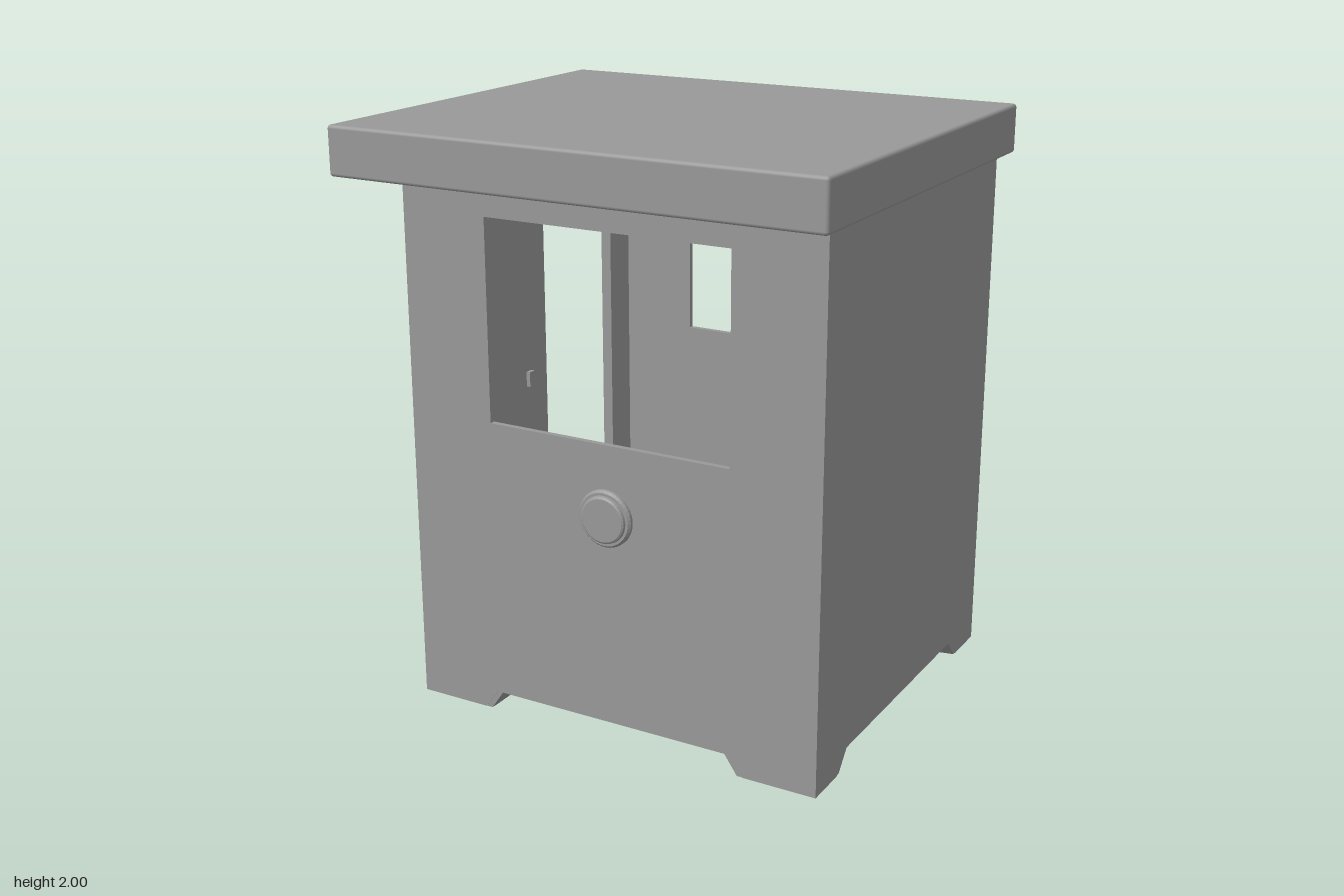
import * as THREE from 'three';
import { RoundedBoxGeometry } from 'three/addons/geometries/RoundedBoxGeometry.js';
import { ConvexGeometry } from 'three/addons/geometries/ConvexGeometry.js';

// Booth extents
const X0 = -0.678, X1 = 0.834, Z0 = -0.712, Z1 = 0.635;
const TOP = 1.84, BASE = 0.01, FLOOR = 0.08, T = 0.02;
const CX = (X0 + X1) / 2, CZ = (Z0 + Z1) / 2;

export function createModel() {
  const model = new THREE.Group();
  const mat = new THREE.MeshStandardMaterial({ color: 0x999999 });

  const add = (name, geometry, x = 0, y = 0, z = 0) => {
    const mesh = new THREE.Mesh(geometry, mat);
    mesh.name = name;
    mesh.position.set(x, y, z);
    model.add(mesh);
    return mesh;
  };
  // Box given by its minimum and maximum corners
  const box = (name, a, b) => add(name,
    new THREE.BoxGeometry(b[0] - a[0], b[1] - a[1], b[2] - a[2]),
    (a[0] + b[0]) / 2, (a[1] + b[1]) / 2, (a[2] + b[2]) / 2);

  // Wall outline from u0 to u1 with a raised lower edge between the feet
  const wallGeometry = (u0, u1, cut, hole) => {
    const s = new THREE.Shape([
      [u0, BASE], [cut[0], BASE], [cut[1], FLOOR], [cut[2], FLOOR], [cut[3], BASE],
      [u1, BASE], [u1, TOP], [u0, TOP],
    ].map(p => new THREE.Vector2(...p)));
    if (hole) {
      const [a, b, c, d] = hole;
      s.holes.push(new THREE.Path([[a, b], [a, d], [c, d], [c, b]].map(p => new THREE.Vector2(...p))));
    }
    return new THREE.ExtrudeGeometry(s, { depth: T, bevelEnabled: false });
  };

  // Front and back walls with window openings
  const cutX = [-0.42, -0.37, 0.53, 0.575];
  const windowHole = [-0.363, 1.05, 0.52, 1.735];
  add('frontWall', wallGeometry(X0, X1, cutX, windowHole), 0, 0, Z1 - T);
  add('backWall', wallGeometry(X0, X1, cutX, windowHole), 0, 0, Z0);

  // Side walls, drawn along -z and turned to face sideways
  const cutZ = [-0.48, -0.42, 0.5, 0.55];
  const doorHole = [0.1, 0.1, 0.56, 1.76];
  add('closedSideWall', wallGeometry(-Z1, -Z0, cutZ), X1 - T).rotation.y = Math.PI / 2;
  add('doorSideWall', wallGeometry(-Z1, -Z0, cutZ, doorHole), X0).rotation.y = Math.PI / 2;

  // Floor and overhanging roof
  box('floor', [X0 + 0.005, FLOOR - 0.005, Z0 + 0.005], [X1 - 0.005, 0.098, Z1 - 0.005]);
  add('roof', new RoundedBoxGeometry(1.764, 0.168, 1.505, 2, 0.012), 0, 1.916, -0.0025);

  // Corner feet with sloped, chamfered inner sides and slightly raised rims
  const footLayers = [[0, 0.06, 0.04, 0.27, 0.165], [BASE, 0.002, 0.002, 0.28, 0.175], [FLOOR, 0.002, 0.002, 0.328, 0.235]];
  for (const [x, sx] of [[X0, 1], [X1, -1]]) {
    for (const [z, sz] of [[Z0, 1], [Z1, -1]]) {
      const pts = footLayers.flatMap(([y, a, b, w, d]) =>
        [[a, b], [w, b], [w, d - 0.05], [w - 0.05, d], [a, d]]
          .map(([u, v]) => new THREE.Vector3(x + sx * u, y, z + sz * v)));
      add('foot', new ConvexGeometry(pts));
    }
  }

  // Round speaking ports through the front and back walls
  const profile = [[0.097, -0.002], [0.097, 0.014], [0.09, 0.022], [0.081, 0.022], [0.079, 0.03], [0.073, 0.034], [0, 0.034]]
    .map(p => new THREE.Vector2(...p));
  const capGeometry = new THREE.LatheGeometry(profile, 40).toNonIndexed();
  capGeometry.computeVertexNormals();
  for (const [z, turn] of [[Z1 - 0.003, 0], [Z0, Math.PI]]) {
    const port = new THREE.Group();
    port.name = 'speakingPort';
    const cap = new THREE.Mesh(capGeometry, mat);
    cap.name = 'portCap';
    cap.rotation.x = Math.PI / 2;
    const ring = new THREE.Mesh(new THREE.TorusGeometry(0.068, 0.016, 10, 40), mat);
    ring.name = 'portInnerRing';
    ring.position.z = -T - 0.004;
    port.add(cap, ring);
    port.position.set(CX, 0.805, z);
    port.rotation.y = turn;
    model.add(port);
  }

  // Sliding door, pushed open along the inside of the wall
  const inner = X0 + 2 * T;
  box('slidingDoor', [X0 + T, 0.12, -0.105], [inner, TOP, Z1 - T]);
  box('doorHandle', [inner, 0.965, -0.005], [inner + 0.015, 1.02, 0.025]);
  box('doorJamb', [X0 + T, 0.098, Z0 + T], [inner, TOP, -0.56]);
  box('doorBottomRail', [X0 - 0.005, 0.085, -0.56], [inner, 0.103, -0.1]);

  // Desk along the closed side wall
  box('desk', [0.28, 0.765, Z0 + T], [X1 - T, 0.8, Z1 - T]);

  // Ceiling tube light and small lamp under the eaves
  add('ceilingLight', new THREE.CapsuleGeometry(0.02, 0.81, 6, 16), CX, 1.805, CZ).rotation.z = Math.PI / 2;
  add('doorLamp', new THREE.CylinderGeometry(0.025, 0.02, 0.016, 20), -0.77, 1.826, -0.6);

  return model;
}
